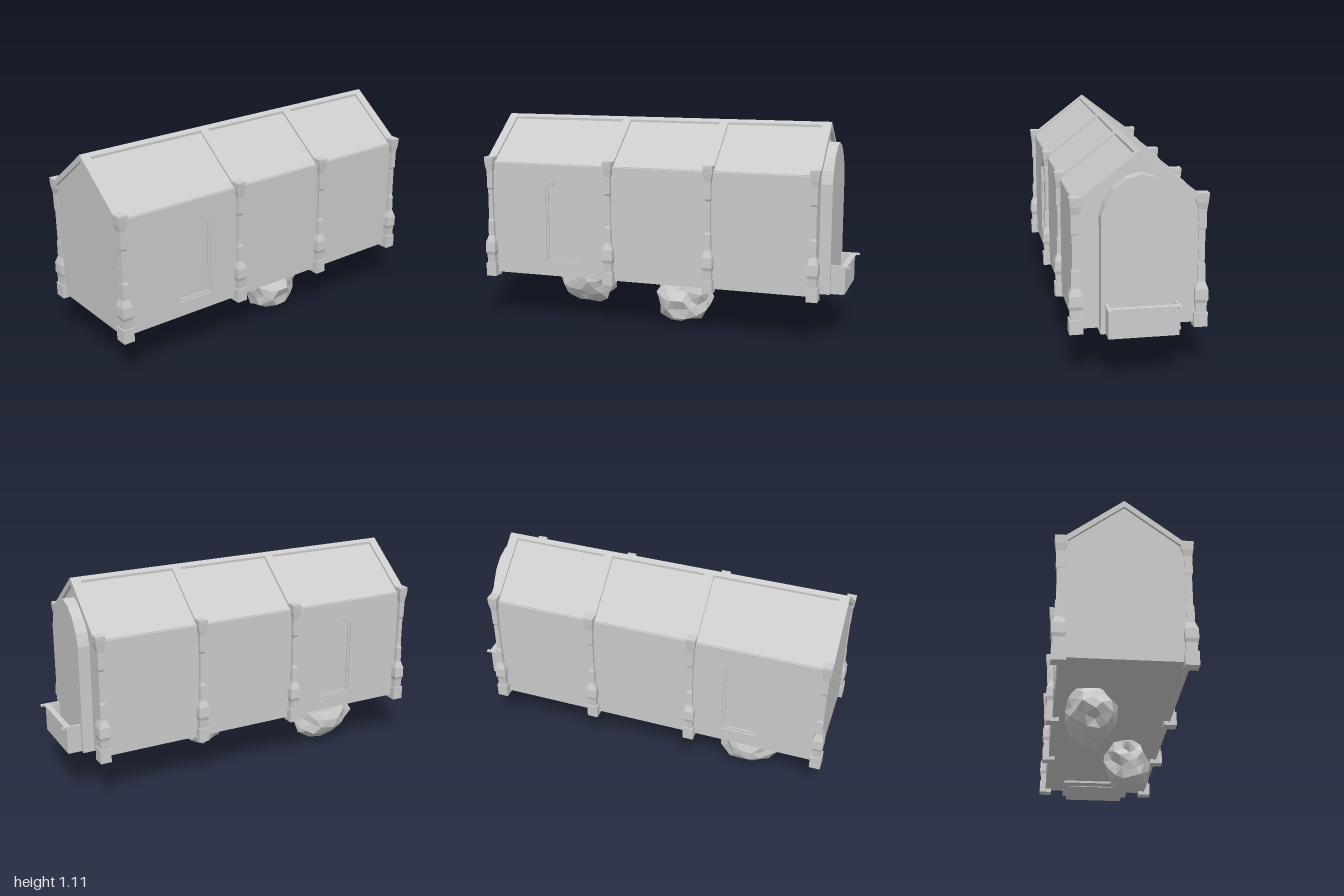
import * as THREE from 'three';

const mat = new THREE.MeshStandardMaterial({ color: 0xcccccc, flatShading: true });
const BAYS = [0.968, 0.272, -0.282, -0.832]; // pillar and rafter stations along z

function add(parent, name, geometry, x = 0, y = 0, z = 0) {
  const mesh = new THREE.Mesh(geometry, mat);
  mesh.name = name;
  mesh.position.set(x, y, z);
  parent.add(mesh);
  return mesh;
}

const points = (list) => list.map(([x, y]) => new THREE.Vector2(x, y));

// Straight extrusion of an outline in x/y from z0 to z1
function prism(outline, z0, z1, hole) {
  const shape = new THREE.Shape(points(outline));
  if (hole) shape.holes.push(new THREE.Path(points(hole)));
  return new THREE.ExtrudeGeometry(shape, { depth: z1 - z0, bevelEnabled: false }).translate(0, 0, z0);
}

// Gable strip following the roof pitch
function chevron(top, halfWidth, thick, z0, z1) {
  const low = top - halfWidth * 0.765;
  return prism([[-halfWidth, low - thick], [0, top - thick], [halfWidth, low - thick],
    [halfWidth, low], [0, top], [-halfWidth, low]], z0, z1);
}

// Pointed window outline, in (z, y)
function lancet(inset) {
  const h = 0.097 - inset, c = 0.545, spring = 0.742 - inset * 0.3;
  return [[c - h, 0.338 + inset], [c + h, 0.338 + inset], [c + h, spring],
    [c + h * 0.55, spring + 0.034], [c, 0.8 - inset], [c - h * 0.55, spring + 0.034], [c - h, spring]];
}

// Square pillar lofted through [y, centre x, half width x, half width z]
function pillarGeometry() {
  const rows = [
    [0.24, 0.304, 0.034, 0.029], [0.313, 0.304, 0.034, 0.029], [0.313, 0.305, 0.026, 0.023],
    [0.36, 0.305, 0.029, 0.023], [0.378, 0.306, 0.034, 0.029], [0.43, 0.305, 0.033, 0.028],
    [0.468, 0.305, 0.02, 0.016], [0.55, 0.305, 0.02, 0.015], [0.563, 0.304, 0.016, 0.013],
    [0.725, 0.304, 0.016, 0.013], [0.735, 0.305, 0.02, 0.015], [0.825, 0.305, 0.02, 0.016],
    [0.862, 0.301, 0.029, 0.023], [0.895, 0.301, 0.032, 0.025], [0.907, 0.301, 0.032, 0.025],
  ];
  const pos = [], index = [];
  for (const [y, c, hx, hz] of rows)
    pos.push(c - hx, y, hz, c + hx, y, hz, c + hx, y, -hz, c - hx, y, -hz);
  for (let r = 0; r < rows.length - 1; r++)
    for (let k = 0; k < 4; k++) {
      const a = r * 4 + k, b = r * 4 + (k + 1) % 4;
      index.push(a, b, b + 4, a, b + 4, a + 4);
    }
  const t = (rows.length - 1) * 4;
  index.push(0, 2, 1, 0, 3, 2, t, t + 1, t + 2, t, t + 2, t + 3);
  const g = new THREE.BufferGeometry();
  g.setAttribute('position', new THREE.Float32BufferAttribute(pos, 3));
  g.setIndex(index);
  const flat = g.toNonIndexed();
  flat.computeVertexNormals();
  return flat;
}

// Craggy boulder: a sphere with a seeded jitter per direction, cut flat on top
function rockGeometry(seed, rx, ry, rz) {
  const g = new THREE.IcosahedronGeometry(1, 2);
  const p = g.attributes.position, v = new THREE.Vector3();
  const hash = (k) => {
    const s = Math.sin(Math.round(v.x * 100) * 12.99 + Math.round(v.y * 100) * 78.23
      + Math.round(v.z * 100) * 37.72 + seed + k * 5.1) * 4375.85;
    return s - Math.floor(s);
  };
  for (let i = 0; i < p.count; i++) {
    v.fromBufferAttribute(p, i);
    const r = 0.8 + 0.24 * hash(0), twist = (hash(1) - 0.5) * 0.2;
    p.setXYZ(i, (v.x + twist) * r * rx, Math.min(v.y * r * ry, ry * 0.72), (v.z - twist) * r * rz);
  }
  g.computeVertexNormals();
  return g;
}

export function createModel() {
  const model = new THREE.Group();
  model.name = 'gabledHall';

  // Body with recessed gable ends
  add(model, 'hallCore', prism([[-0.288, 0.262], [0.288, 0.262], [0.288, 0.875],
    [0, 1.095], [-0.288, 0.875]], -0.84, 0.978));

  // Side walls with window openings; the core behind forms the pane
  for (const side of [1, -1]) {
    const wall = new THREE.Group();
    wall.name = side > 0 ? 'leftWall' : 'rightWall';
    const place = (name, g, x0) => {
      // outline (z, y) turned so that its depth runs along x
      g.rotateY(-Math.PI / 2);
      g.translate(side * x0 + (side > 0 ? 0.015 : 0), 0, 0);
      add(wall, name, g);
    };
    place('wallPanel', prism([[-0.845, 0.26], [0.982, 0.26], [0.982, 0.88], [-0.845, 0.88]],
      0, 0.015, lancet(0)), 0.288);
    place('windowFrame', prism(lancet(0), 0, 0.008, lancet(0.013)), side > 0 ? 0.281 : 0.288);
    model.add(wall);
  }

  // Roof slab, ridge beam, eaves and rafters
  add(model, 'roofPanels', chevron(1.108, 0.306, 0.02, -0.845, 0.982));
  add(model, 'ridgeBeam', chevron(1.121, 0.02, 0.025, -0.853, 0.99));
  for (const z of BAYS)
    add(model, 'rafter', chevron(1.121, 0.303, 0.034, z - 0.024, z + 0.024));

  // Pillars along both sides
  const pillar = pillarGeometry();
  for (const z of BAYS) {
    add(model, 'leftPillar', pillar, 0, 0, z);
    add(model, 'rightPillar', pillar, 0, 0, z).rotation.y = Math.PI;
  }

  // Arched doorway block on the back
  const half = [[0.192, 0.25], [0.192, 0.82], [0.172, 0.885], [0.13, 0.95], [0.07, 0.998]];
  const mirrored = half.map(([x, y]) => [-x, y]).reverse();
  add(model, 'doorway', prism([...half, [0, 1.018], ...mirrored], -0.9, -0.83));

  // Balcony: floor, parapet, open sides and rim
  const balcony = new THREE.Group();
  balcony.name = 'balcony';
  const box = (name, w, h, d, x, y, z) => add(balcony, name, new THREE.BoxGeometry(w, h, d), x, y, z);
  box('balconyFloor', 0.34, 0.05, 0.08, 0, 0.278, -0.93);
  box('balconyParapet', 0.34, 0.14, 0.018, 0, 0.322, -0.964);
  box('balconyRim', 0.346, 0.01, 0.03, 0, 0.395, -0.968);
  for (const s of [-1, 1]) {
    box('balconySide', 0.014, 0.14, 0.07, s * 0.163, 0.322, -0.93);
    box('balconySideRim', 0.014, 0.01, 0.104, s * 0.168, 0.395, -0.948);
  }
  box('floorPlate', 0.39, 0.016, 0.25, 0, 0.258, -0.775);
  box('floorPlateInner', 0.32, 0.016, 0.25, 0, 0.254, -0.835);
  model.add(balcony);

  // Boulders under the floor
  add(model, 'frontRock', rockGeometry(3, 0.132, 0.155, 0.185), -0.125, 0.158, 0.575);
  add(model, 'rearRock', rockGeometry(11, 0.125, 0.155, 0.165), 0.115, 0.158, -0.085);

  return model;
}
